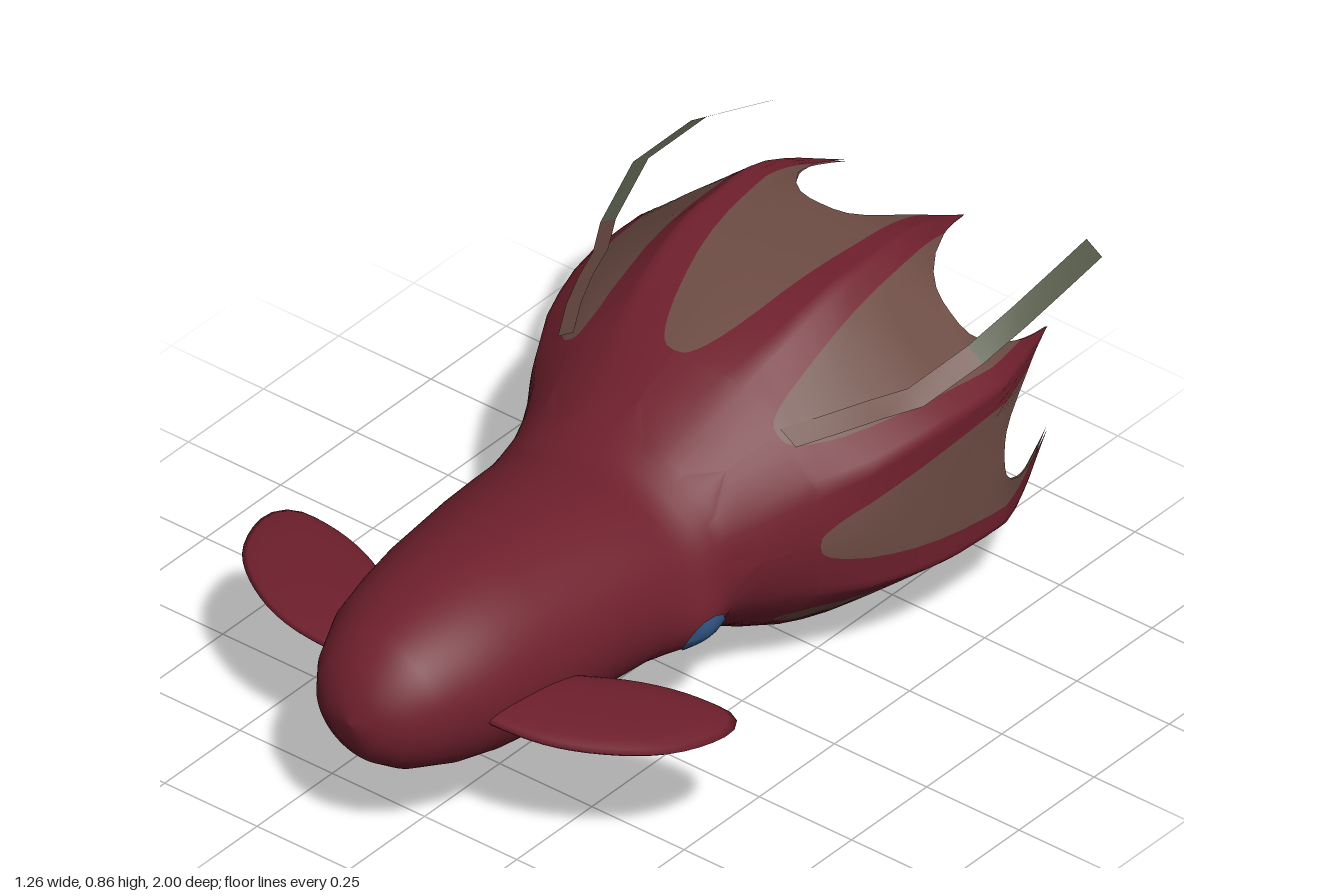
import * as THREE from 'three';

const mat = (name, color, side = THREE.FrontSide) => {
  const m = new THREE.MeshStandardMaterial({ color, side });
  m.name = name;
  return m;
};

// Body profile along z: [z, half width, top, bottom]
const PROFILE = [
  [1, 0, 0.37, 0.37], [0.985, 0.075, 0.44, 0.3], [0.95, 0.13, 0.495, 0.255],
  [0.9, 0.168, 0.54, 0.22], [0.8, 0.215, 0.58, 0.185], [0.7, 0.238, 0.602, 0.162],
  [0.6, 0.255, 0.615, 0.152], [0.4, 0.278, 0.615, 0.165], [0.3, 0.286, 0.61, 0.172],
  [0.25, 0.29, 0.607, 0.17], [0.22, 0.293, 0.605, 0.167], [0.19, 0.297, 0.606, 0.164],
  [0.16, 0.3, 0.616, 0.161], [0.13, 0.303, 0.63, 0.158],
  [0.1, 0.306, 0.645, 0.155], [0, 0.342, 0.7, 0.12],
  [-0.1, 0.41, 0.755, 0.08], [-0.2, 0.455, 0.795, 0.048], [-0.3, 0.478, 0.828, 0.025],
  [-0.4, 0.492, 0.849, 0.01], [-0.57, 0.497, 0.855, 0], [-0.63, 0.48, 0.845, 0.012],
  [-0.7, 0.452, 0.82, 0.035], [-0.78, 0.415, 0.78, 0.073], [-0.85, 0.385, 0.745, 0.11],
];

function section(z) {
  let i = 0;
  while (i < PROFILE.length - 2 && z < PROFILE[i + 1][0]) i++;
  const a = PROFILE[i], b = PROFILE[i + 1];
  const f = THREE.MathUtils.clamp((a[0] - z) / (a[0] - b[0]), 0, 1);
  return [1, 2, 3].map((k) => a[k] + (b[k] - a[k]) * f);
}

// Skin point: round on the mantle with soft eye bulges, eight-sided along the web.
// t runs from -1 to 1 across the panel between two arms.
function skinPoint(z, panel, t, scale = 1) {
  const [hw, top, bottom] = section(z);
  const off = t * Math.PI / 8, a = panel * Math.PI / 4 + off;
  const k = THREE.MathUtils.smoothstep(-z, -0.1, 0.4);
  const r = scale * (1 + k * (1 / Math.cos(off) - 1));
  const y = (top + bottom) / 2 + (top - bottom) / 2 * Math.cos(a) * r;
  const bulge = 1 + 0.14 * Math.exp(-(((z - 0.195) / 0.1) ** 2) - ((y - 0.3) / 0.1) ** 2);
  return [hw * Math.sin(a) * r * bulge, y, z];
}

// Web rows run from the neck to a scalloped rim that ends in arm tips
const webZ = (s, t) => 0.1 - 0.67 * s - 0.28 * Math.abs(s * t) ** 3;
const panelWidth = (s) => (s <= 0.27 ? 0 : 0.82 * ((s - 0.27) / 0.73) ** 0.35);
const WEB_ROWS = [0.1, 0.2, 0.27, 0.275, 0.285, 0.3, 0.33, 0.37, 0.42, 0.5, 0.58,
  0.66, 0.74, 0.8, 0.84, 0.88, 0.91, 0.94, 0.97, 1];

// Lofts rows into one geometry with two material groups
const RED_COLS = 5, WEB_COLS = 10, COLS = RED_COLS * 2 + WEB_COLS;
const isWeb = (c) => c >= RED_COLS && c < RED_COLS + WEB_COLS;
function columnT(c, h) {
  if (c < RED_COLS) return -1 + (1 - h) * c / RED_COLS;
  if (c > RED_COLS + WEB_COLS) return 1 - (1 - h) * (COLS - c) / RED_COLS;
  return h * (2 * (c - RED_COLS) / WEB_COLS - 1);
}
function loft(rows, pointAt, groupAt, flip) {
  const pos = [], lists = [[], []], n = COLS * 8;
  rows.forEach((row, i) => {
    for (let j = 0; j < n; j++) {
      const c = j % COLS, panel = Math.floor(j / COLS);
      pos.push(...pointAt(row, panel, c));
      if (i === rows.length - 1) continue;
      const a = i * n + j, b = i * n + (j + 1) % n, d = a + n, e = b + n;
      lists[groupAt(row, c, panel)].push(...(flip ? [a, d, b, b, d, e] : [a, b, d, b, e, d]));
    }
  });
  const g = new THREE.BufferGeometry();
  g.setAttribute('position', new THREE.Float32BufferAttribute(pos, 3));
  g.setIndex([...lists[0], ...lists[1]]);
  g.addGroup(0, lists[0].length, 0);
  g.addGroup(lists[0].length, lists[1].length, 1);
  g.computeVertexNormals();
  return g;
}

// Flat ribbon along points
function ribbon(points, w) {
  const pos = [], idx = [];
  points.forEach((p, i) => {
    pos.push(p[0] - w[0], p[1] - w[1], p[2], p[0] + w[0], p[1] + w[1], p[2]);
    if (i) idx.push(2 * i - 2, 2 * i - 1, 2 * i, 2 * i - 1, 2 * i + 1, 2 * i);
  });
  const g = new THREE.BufferGeometry();
  g.setAttribute('position', new THREE.Float32BufferAttribute(pos, 3));
  g.setIndex(idx);
  g.computeVertexNormals();
  return g;
}

// Moves every vertex of a geometry by a rule
function reshape(g, rule) {
  const p = g.attributes.position;
  for (let i = 0; i < p.count; i++) {
    p.setXYZ(i, ...rule(p.getX(i), p.getY(i), p.getZ(i), g.attributes.uv.getX(i)));
  }
  g.computeVertexNormals();
  return g;
}

// Fin: a sphere flattened to a lens with the fin's outline
const FIN = [[0.15, 0.78], [0.3, 0.793], [0.44, 0.75], [0.58, 0.645], [0.63, 0.53],
  [0.625, 0.48], [0.595, 0.45], [0.5, 0.448], [0.38, 0.48], [0.25, 0.55], [0.15, 0.62]];
function finGeometry(side) {
  const pts = FIN.map(([x, z]) => new THREE.Vector3(x * side, 0, z));
  if (side < 0) pts.reverse();
  const curve = new THREE.CatmullRomCurve3(pts, true);
  return reshape(new THREE.SphereGeometry(1, 40, 10), (x, y, z, u) => {
    const p = curve.getPointAt((u + 1) % 1), r = Math.hypot(x, z), cx = 0.28 * side, cz = 0.65;
    return [cx + (p.x - cx) * r, 0.36 + 0.027 * y, cz + (p.z - cz) * r];
  });
}

export function createModel() {
  const model = new THREE.Group();
  const red = mat('deep red skin', 0x6f202d);
  const brown = mat('brown web', 0x6d4c44, THREE.DoubleSide);
  const green = mat('grey green lining', 0x5a5f4e, THREE.DoubleSide);
  const blue = mat('blue eye', 0x355d8e);
  const add = (name, geometry, material) => {
    const m = new THREE.Mesh(geometry, material);
    m.name = name;
    model.add(m);
    return m;
  };

  // Mantle, arms and web as one smooth skin
  const mantleRows = [...PROFILE.filter((p) => p[0] >= 0.1).map((p) => ({ z: p[0] })),
    ...WEB_ROWS.map((s) => ({ s }))];
  add('mantleAndWeb', loft(mantleRows, (row, panel, c) => {
    const t = columnT(c, row.s ? panelWidth(row.s) : 0.5);
    return skinPoint(row.s ? webZ(row.s, t) : row.z, panel, t);
  }, (row, c) => (row.s >= 0.27 && isWeb(c) ? 1 : 0)), [red, brown]);

  // Lining inside the web, closed at its depth, with brown inner arm tips and lower rim
  const inner = [{ s: 0.18, k: 0 }, { s: 0.18, k: 0.5 }, { s: 0.2, k: 0.85 },
    ...WEB_ROWS.filter((s) => s > 0.29).map((s) => ({ s, k: 0.97 + 0.02 * s }))];
  add('webLining', loft(inner, (row, panel, c) => {
    const t = columnT(c, 0.65);
    return skinPoint(webZ(row.s, t), panel, t, row.k);
  }, (row, c, panel) => {
    const tip = row.s >= 0.84 && !isWeb(c);
    const rim = row.s >= 0.94 && panel >= 2 && panel <= 6;
    return tip || rim ? 1 : 0;
  }, true), [green, brown]);

  // Siphon under the head
  const siphon = add('siphon', new THREE.CylinderGeometry(0.1, 0.042, 0.18, 16), red);
  siphon.scale.x = 1.25;
  siphon.position.set(0, 0.158, 0.21);
  siphon.rotation.x = 0.52;

  for (const side of [1, -1]) {
    const label = side > 0 ? 'left' : 'right';
    add(label + 'Fin', finGeometry(side), red);

    // Eye: thin disc following the bulge
    add(label + 'Eye', reshape(new THREE.RingGeometry(0, 1, 11, 3), (u, v) => {
      const p = skinPoint(0.195 + 0.055 * u * side, 2, 1 + 0.66 * v, 1.015);
      return [p[0] * side, p[1], p[2]];
    }), blue);

    // Filament: lies on the web, then trails free
    const onWeb = [[-0.09, 0.1], [-0.18, 0.25], [-0.27, 0.4], [-0.36, 0.55]].map(([z, t]) => {
      const p = skinPoint(z, 1, t, 1.018);
      return [p[0] * side, p[1], z];
    });
    const free = side > 0
      ? [[0.475, 0.715, -0.5], [0.495, 0.755, -0.62], [0.465, 0.745, -0.8], [0.39, 0.68, -1]]
      : [[-0.52, 0.62, -0.5], [-0.57, 0.66, -0.67], [-0.535, 0.7, -0.82], [-0.475, 0.685, -0.98]];
    const w = [0.021 * side, -0.014];
    add(label + 'FilamentBase', ribbon([...onWeb, free[0]], w), brown);
    add(label + 'Filament', ribbon(free, w), green);
  }
  return model;
}
